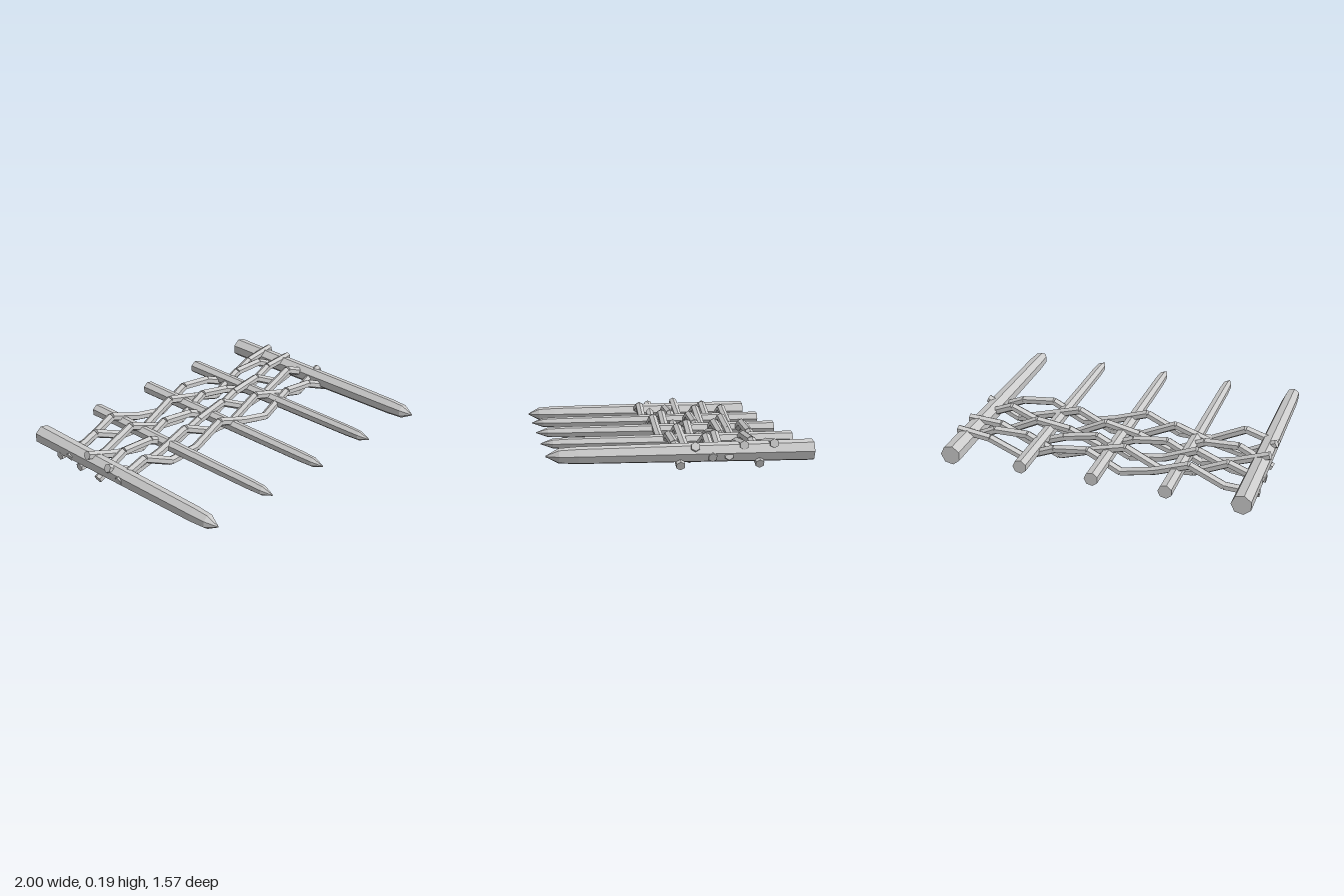
import * as THREE from 'three';

const MID = 0.103; // height of the stake axes
const wood = new THREE.MeshStandardMaterial({ color: 0xcccccc, flatShading: true });
wood.name = 'paleGreyWood';

// Seven-sided tapered stake lying along z, pointed at the front
function makeStake(x, scale) {
  const profile = [[0, -0.785], [0.065, -0.785], [0.052, 0.6], [0.045, 0.71], [0.004, 0.785], [0, 0.785]]
    .map(([r, z]) => new THREE.Vector2(r * scale, z));
  const geometry = new THREE.LatheGeometry(profile, 7, Math.PI / 2);
  geometry.rotateX(Math.PI / 2);
  const stake = new THREE.Mesh(geometry, wood);
  stake.position.set(x, MID, 0);
  return stake;
}

// Six-sided straight piece between two points of a woven rod
function makeRodPiece(a, b) {
  const geometry = new THREE.CylinderGeometry(0.028, 0.028, a.distanceTo(b), 6);
  geometry.rotateY(Math.PI / 6);
  const piece = new THREE.Mesh(geometry, wood);
  const direction = b.clone().sub(a).normalize();
  piece.quaternion.setFromUnitVectors(new THREE.Vector3(0, 1, 0), direction);
  piece.position.copy(a).add(b).multiplyScalar(0.5);
  piece.name = 'rodPiece';
  return piece;
}

export function createModel() {
  const model = new THREE.Group();
  model.name = 'wovenFence';

  // Two thick outer stakes and three thinner inner ones
  for (let i = -2; i <= 2; i++) {
    const outer = Math.abs(i) === 2;
    const stake = makeStake(i * 0.464, outer ? 1 : 0.7);
    stake.name = outer ? 'outerStake' : 'innerStake';
    model.add(stake);
  }

  // Woven rods: z at the left end, z at the right end, wave phase at the right end
  const rods = [
    [0.0, 0.013, 3.1], [-0.093, -0.074, -0.85], [-0.187, -0.176, 1.92], [-0.28, -0.272, -1.75],
    [-0.362, -0.362, 0.85], [-0.455, -0.455, 2.9], [-0.552, -0.541, 0.7],
  ];
  const pieces = 9, end = 0.985;
  for (const [zStart, zEnd, phase] of rods) {
    const rod = new THREE.Group();
    rod.name = 'wovenRod';
    const points = [];
    for (let i = 0; i <= pieces; i++) {
      const t = i / pieces;
      const y = MID + 0.068 * Math.cos(phase + (t - 1) * 5.5 * Math.PI);
      points.push(new THREE.Vector3((2 * t - 1) * end, y, THREE.MathUtils.lerp(zStart, zEnd, t)));
    }
    for (let i = 0; i < pieces; i++) rod.add(makeRodPiece(points[i], points[i + 1]));
    model.add(rod);
  }
  return model;
}
